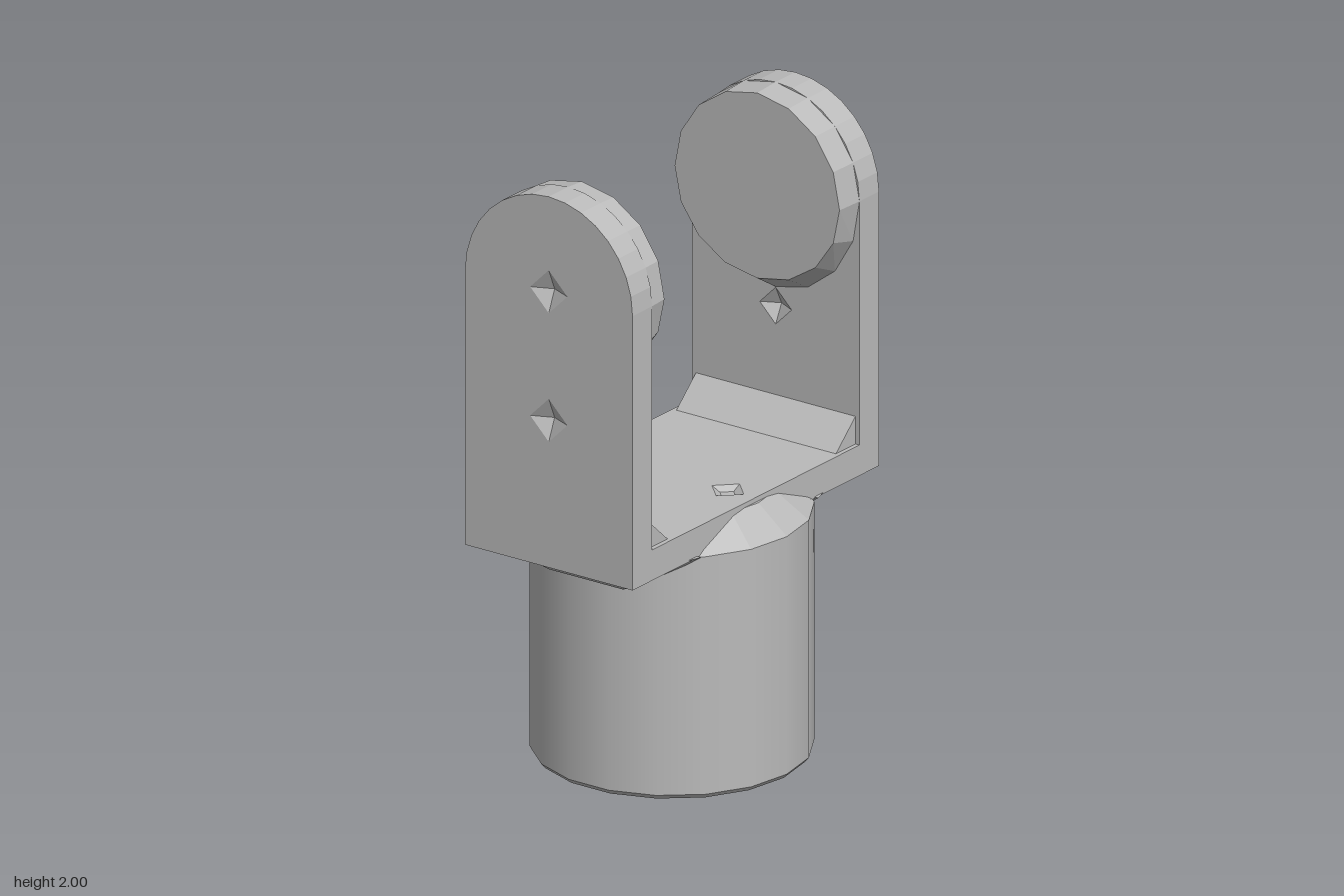
import * as THREE from 'three';
import { ConvexGeometry } from 'three/addons/geometries/ConvexGeometry.js';

const HALF = Math.PI / 2;
const W = 0.315;       // half depth of the yoke
const PIVOT = 1.685;   // height of the pivot axis
const PIT = 0.03;      // depth of the small dimples

export function createModel() {
  const model = new THREE.Group();
  const grey = new THREE.MeshStandardMaterial({ color: 0xbababa });
  grey.name = 'castGrey';

  const add = (name, geometry, parent = model) => {
    const mesh = new THREE.Mesh(geometry, grey);
    mesh.name = name;
    parent.add(mesh);
    return mesh;
  };
  const faceted = (geometry) => {
    const g = geometry.index ? geometry.toNonIndexed() : geometry;
    g.computeVertexNormals();
    return g;
  };
  const extrude = (shape, depth) =>
    new THREE.ExtrudeGeometry(shape, { depth, bevelEnabled: false, curveSegments: 8 });

  // Cut a diamond hole in a skin shape
  const cut = (shape, x, y, r) => {
    const hole = new THREE.Path();
    hole.moveTo(x + r, y).lineTo(x, y - r).lineTo(x - r, y).lineTo(x, y + r).closePath();
    shape.holes.push(hole);
  };
  // Sloping lining of a dimple, opening towards +y
  const lining = (r) => faceted(new THREE.LatheGeometry(
    [new THREE.Vector2(r, 0), new THREE.Vector2(0, -PIT)], 4));

  // Round socket: smooth wall, bevelled floor with a centre dimple, sloping collar
  const socket = new THREE.Group();
  socket.name = 'socket';
  model.add(socket);
  add('socketWall', new THREE.CylinderGeometry(0.432, 0.432, 0.775, 18, 1, true)
    .translate(0, 0.4025, 0), socket);
  add('socketFloor', faceted(new THREE.LatheGeometry([
    new THREE.Vector2(0, 0.05), new THREE.Vector2(0.05, 0),
    new THREE.Vector2(0.42, 0), new THREE.Vector2(0.432, 0.015)], 18)), socket);
  add('socketCollar', faceted(new THREE.CylinderGeometry(0.325, 0.432, 0.085, 18)
    .translate(0, 0.8325, 0)), socket);

  // Bridge plate with two dimples on top
  const bridge = new THREE.Group();
  bridge.name = 'bridge';
  model.add(bridge);
  const plate = () => new THREE.Shape([
    new THREE.Vector2(-0.63, -W), new THREE.Vector2(0.63, -W),
    new THREE.Vector2(0.63, W), new THREE.Vector2(-0.63, W)]);
  add('bridgeCore', extrude(plate(), 0.1 - PIT).rotateX(-HALF).translate(0, 0.79, 0), bridge);
  const top = plate();
  for (const z of [-0.21, 0.21]) {
    cut(top, 0, z, 0.06);
    add('bridgeDimple', lining(0.06).translate(0, 0.89, z), bridge);
  }
  add('bridgeTop', extrude(top, PIT).rotateX(-HALF).translate(0, 0.89 - PIT, 0), bridge);

  // Arm outline with a round head
  const armShape = () => {
    const s = new THREE.Shape();
    s.moveTo(-W, 0.8).lineTo(W, 0.8).lineTo(W, PIVOT);
    s.absarc(0, PIVOT, W, 0, Math.PI, false);
    s.closePath();
    return s;
  };

  const buildArm = (side, name, face, outerPits, innerPits) => {
    const arm = new THREE.Group();
    arm.name = name;
    model.add(arm);
    const slab = (part, shape, a, b) => {
      const x = side > 0 ? a : -b;
      add(part, extrude(shape, b - a).rotateY(HALF).translate(x, 0, 0), arm);
    };

    // Layered arm: the outer and inner skins carry the dimples
    const outer = armShape();
    const inner = armShape();
    for (const y of outerPits) {
      cut(outer, 0, y, 0.07);
      add('armDimple', lining(0.07).rotateZ(-side * HALF).translate(side * 0.63, y, 0), arm);
    }
    for (const y of innerPits) {
      cut(inner, 0, y, 0.06);
      add('armDimple', lining(0.06).rotateZ(side * HALF).translate(side * 0.53, y, 0), arm);
    }
    slab('armInner', inner, 0.53, 0.53 + PIT);
    slab('armCore', armShape(), 0.53 + PIT, 0.63 - PIT);
    slab('armOuter', outer, 0.63 - PIT, 0.63);

    // Pivot boss, with its lower edge sloping back to the arm
    const depth = 0.53 - face;
    const boss = new THREE.CylinderGeometry(0.31, 0.315, depth, 16).rotateZ(side * HALF);
    const p = boss.attributes.position;
    for (let i = 0; i < p.count; i++) {
      if (p.getY(i) < 0) p.setY(i, p.getY(i) * (p.getX(i) * side < 0 ? 0.95 : 1.12));
    }
    add('pivotBoss', faceted(boss.translate(side * (face + depth / 2), PIVOT, 0)), arm);

    // Inner corner fillet
    const fillet = new THREE.Shape([
      new THREE.Vector2(side * 0.53, 0.89), new THREE.Vector2(side * 0.53, 0.98),
      new THREE.Vector2(side * 0.43, 0.89)]);
    add('cornerFillet', extrude(fillet, 0.6).translate(0, 0, -0.3), arm);

    // Gusset beneath the overhang
    const points = [];
    for (const z of [-1, 1]) {
      points.push(new THREE.Vector3(side * 0.57, 0.795, z * 0.24),
        new THREE.Vector3(side * 0.3, 0.795, z * 0.33),
        new THREE.Vector3(side * 0.44, 0.69, z * 0.14),
        new THREE.Vector3(side * 0.35, 0.69, z * 0.18));
    }
    add('gusset', new ConvexGeometry(points), arm);
  };
  buildArm(1, 'leftArm', 0.435, [1.79], [1.27]);
  buildArm(-1, 'rightArm', 0.46, [1.69, 1.27], []);

  // Tapered pivot peg on the right boss
  add('pivotPeg', faceted(new THREE.CylinderGeometry(0.115, 0.18, 0.08, 6)
    .rotateZ(-HALF).translate(-0.42, PIVOT, 0)));

  return model;
}
